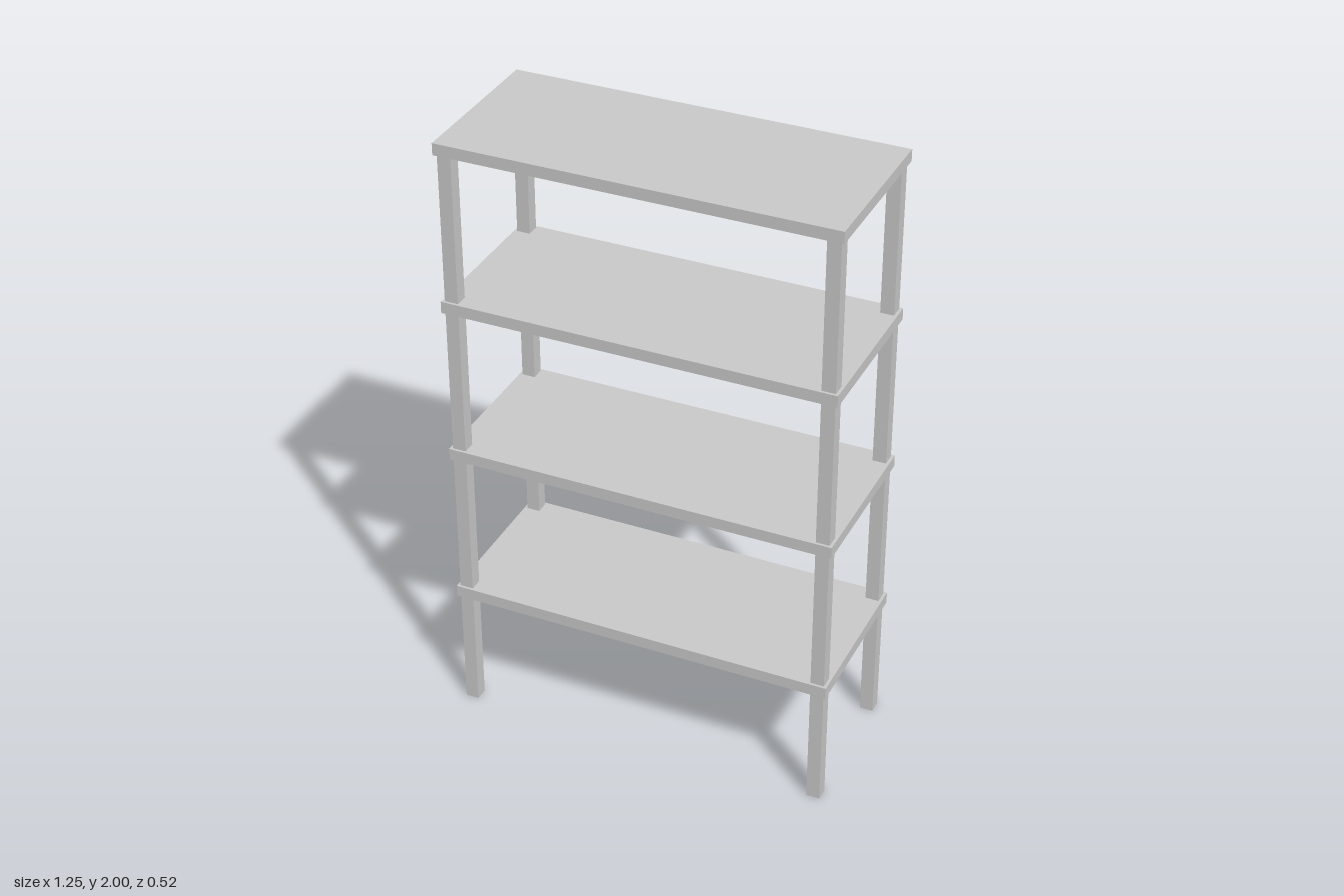
import * as THREE from 'three';

const WIDTH = 1.248, DEPTH = 0.524, HEIGHT = 2;
const BOARD = 0.038, POST = 0.043, SPACING = 0.519;

export function createModel() {
  const group = new THREE.Group();
  const material = new THREE.MeshStandardMaterial({ color: 0xcccccc, flatShading: true });

  const addBox = (name, size, position) => {
    const mesh = new THREE.Mesh(new THREE.BoxGeometry(...size), material);
    mesh.name = name;
    mesh.position.set(...position);
    group.add(mesh);
  };

  // Four evenly spaced shelf boards, counted down from the top
  for (let i = 0; i < 4; i++) {
    const y = HEIGHT - BOARD / 2 - i * SPACING;
    addBox(`shelf${4 - i}`, [WIDTH, BOARD, DEPTH], [0, y, 0]);
  }

  // Four square corner posts, slightly inset and ending inside the top board
  const postHeight = HEIGHT - BOARD / 2;
  for (const [side, x] of [['Left', 0.593], ['Right', -0.593]]) {
    for (const [end, z] of [['front', 0.232], ['back', -0.232]]) {
      addBox(`${end}${side}Post`, [POST, postHeight, POST], [x, postHeight / 2, z]);
    }
  }

  return group;
}
